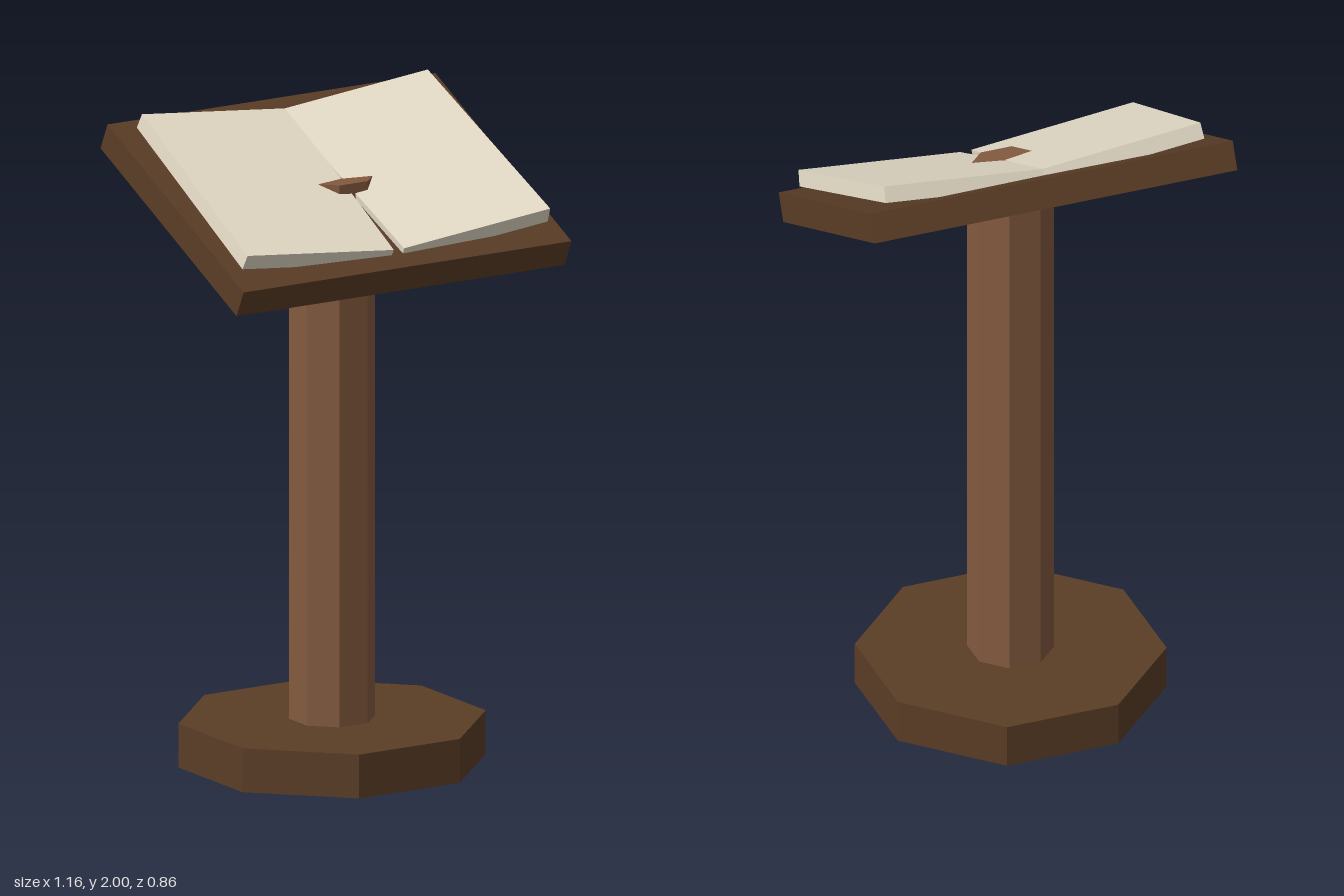
import * as THREE from 'three';

const TILT = 0.44; // slope of the desk towards the reader
const ROLL = 0.1;  // lift of each page block towards its outer edge

const material = (name, color) => {
  const m = new THREE.MeshStandardMaterial({ color });
  m.name = name;
  return m;
};

// Octagonal prism with a flat side facing the front
function octagon(name, apothem, y0, y1, mat) {
  const r = apothem / Math.cos(Math.PI / 8);
  const geo = new THREE.CylinderGeometry(r, r, y1 - y0, 8).rotateY(Math.PI / 8).toNonIndexed();
  geo.computeVertexNormals();
  const mesh = new THREE.Mesh(geo, mat);
  mesh.name = name;
  mesh.position.y = (y0 + y1) / 2;
  return mesh;
}

// Box tilted towards the reader, then rolled about the front axis
function slab(name, size, position, roll, mat) {
  const mesh = new THREE.Mesh(new THREE.BoxGeometry(...size), mat);
  mesh.name = name;
  mesh.position.set(...position);
  mesh.rotation.set(TILT, 0, roll, 'ZYX');
  return mesh;
}

export function createModel() {
  const darkWood = material('dark wood', 0x5a3d26);
  const wood = material('wood', 0x835a3e);
  const paper = material('paper', 0xe8dfca);

  const group = new THREE.Group();
  group.name = 'lectern';

  // Foot and column; the column end shows through the open book
  group.add(octagon('base', 0.43, 0, 0.135, darkWood));
  group.add(octagon('column', 0.12, 0.135, 1.803, wood));

  // Sloping desk
  group.add(slab('desk', [1.16, 0.09, 0.835], [0, 1.747, 0.022], 0, darkWood));

  // Open book: two page blocks meeting at the gutter
  for (const side of [1, -1]) {
    group.add(slab(side > 0 ? 'leftPages' : 'rightPages',
      [0.52, 0.05, 0.7], [side * 0.264, 1.806, 0.044], side * ROLL, paper));
  }
  return group;
}
